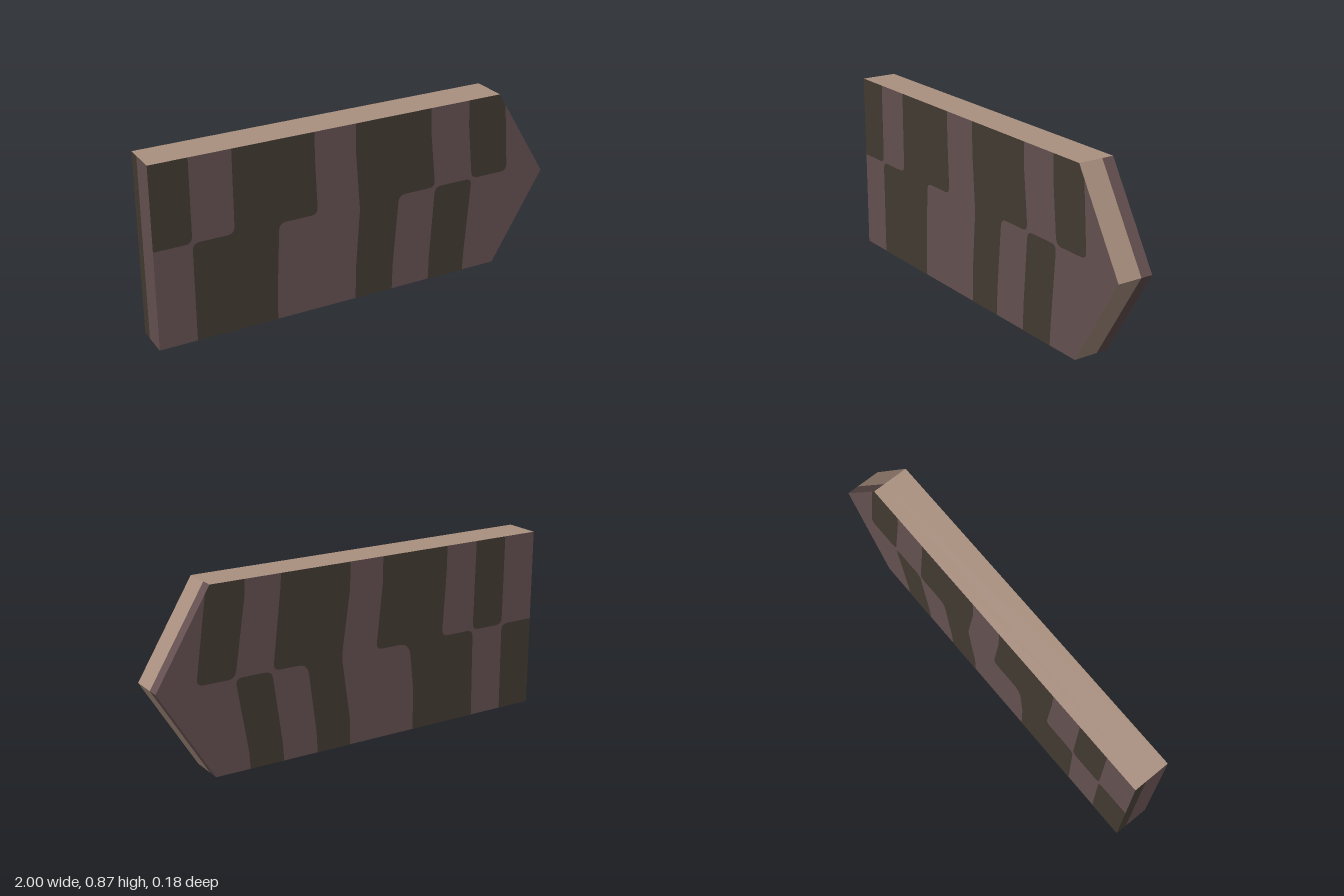
import * as THREE from 'three';

const H = 0.87, TIP = H / 2, Z = 0.087, SPLIT = -0.031, LIFT = 0.001;
const R = 0.035; // corner rounding of the patches

// Closed shape from [x, y, radius?] points, rounding corners that carry a radius
function roundedShape(points) {
  const shape = new THREE.Shape();
  const n = points.length;
  const toward = (a, b, d) => {
    const l = Math.hypot(b[0] - a[0], b[1] - a[1]);
    const t = Math.min(d / l, 0.5);
    return [a[0] + (b[0] - a[0]) * t, a[1] + (b[1] - a[1]) * t];
  };
  points.forEach((p, i) => {
    const r = p[2] || 0;
    const a = r ? toward(p, points[(i + n - 1) % n], r) : p;
    if (i === 0) shape.moveTo(a[0], a[1]);
    else shape.lineTo(a[0], a[1]);
    if (r) {
      const b = toward(p, points[(i + 1) % n], r);
      shape.quadraticCurveTo(p[0], p[1], b[0], b[1]);
    }
  });
  shape.closePath();
  return shape;
}

// Flat face on the front, or turned round onto the back
function face(name, points, material, back, lift = 0) {
  const pts = back ? points.map(([x, y, r]) => [-x, y, r]) : points;
  const geo = new THREE.ShapeGeometry(roundedShape(pts), 5);
  geo.translate(0, 0, Z + lift);
  if (back) geo.rotateY(Math.PI);
  const mesh = new THREE.Mesh(geo, material);
  mesh.name = name;
  return mesh;
}

// Rectangular piece of the rim along one outline edge
function wall(name, p, q, z0, z1, material) {
  const geo = new THREE.BufferGeometry();
  geo.setAttribute('position', new THREE.Float32BufferAttribute(
    [...p, z0, ...q, z0, ...q, z1, ...p, z1], 3));
  geo.setIndex([0, 1, 2, 0, 2, 3]);
  geo.computeVertexNormals();
  const mesh = new THREE.Mesh(geo, material);
  mesh.name = name;
  return mesh;
}

export function createModel() {
  const mat = (name, color) => {
    const m = new THREE.MeshStandardMaterial({ color });
    m.name = name;
    return m;
  };
  const mauve = mat('mauve', 0x665151);
  const dark = mat('darkOlive', 0x433b32);
  const tan = mat('tan', 0xab9181);

  const model = new THREE.Group();
  model.name = 'pointedBoard';

  // Board faces
  const outline = [[-1, 0], [0.735, 0], [1, TIP], [0.735, H], [-1, H]];
  model.add(face('frontFace', outline, mauve, false));
  model.add(face('backFace', outline, mauve, true));

  // Rim, split lengthwise into a back strip and a front strip
  const rim = [
    ['bottomEdge', tan, tan],
    ['lowerTipEdge', mauve, tan],
    ['upperTipEdge', mauve, tan],
    ['topEdge', tan, tan],
    ['endEdge', dark, mauve],
  ];
  rim.forEach(([name, backMat, frontMat], i) => {
    const p = outline[i], q = outline[(i + 1) % outline.length];
    model.add(wall(name + 'Back', p, q, -Z - LIFT, SPLIT, backMat));
    model.add(wall(name + 'Front', p, q, SPLIT, Z + LIFT, frontMat));
  });

  // Dark patches on the front, stepping at mid height
  const F = 0.475;
  const frontPatches = [
    [[-1, F], [-0.822, F, R], [-0.822, H], [-1, H]],
    [[-0.822, 0], [-0.43, 0], [-0.428, 0.15], [-0.413, F, R], [-0.222, F, R], [-0.233, 0.74],
      [-0.235, H], [-0.626, H], [-0.626, F, R], [-0.822, F, R]],
    [[-0.03, 0], [0.165, 0], [0.168, 0.12], [0.197, F, R], [0.392, F, R], [0.365, 0.74],
      [0.36, H], [-0.03, H], [-0.028, 0.72], [-0.008, 0.45], [-0.028, 0.16]],
    [[0.365, 0], [0.56, 0], [0.565, 0.1], [0.595, F, R], [0.392, F, R], [0.368, 0.12]],
    [[0.595, F, R], [0.795, F, R], [0.77, 0.812], [0.735, H], [0.565, H], [0.57, 0.74]],
  ];
  frontPatches.forEach(p => model.add(face('frontPatch', p, dark, false, LIFT)));

  // Dark patches on the back
  const B = 0.435;
  const backPatches = [
    [[0.735, H], [0.757, 0.834], [0.813, B, R], [0.628, B, R], [0.573, 0.8], [0.57, H]],
    [[0.565, 0], [0.57, 0.08], [0.628, B, R], [0.448, B, R], [0.4, 0.08], [0.395, 0]],
    [[0.395, H], [0.4, 0.8], [0.442, B, R], [0.268, B, 0.05], [0.225, 0.1], [0.22, 0],
      [0.045, 0], [0.047, 0.13], [0.09, B, R], [0.047, 0.74], [0.043, H]],
    [[-0.13, H], [-0.128, 0.74], [-0.095, B, R], [-0.28, B, 0.06], [-0.305, 0.2], [-0.305, 0],
      [-0.652, 0], [-0.647, B, R], [-0.465, B, R], [-0.484, 0.74], [-0.486, H]],
    [[-0.655, H], [-0.647, B, R], [-0.822, B, R], [-0.825, H]],
    [[-0.825, 0], [-0.822, B, R], [-1, B], [-1, 0]],
  ];
  backPatches.forEach(p => model.add(face('backPatch', p, dark, true, LIFT)));

  return model;
}
